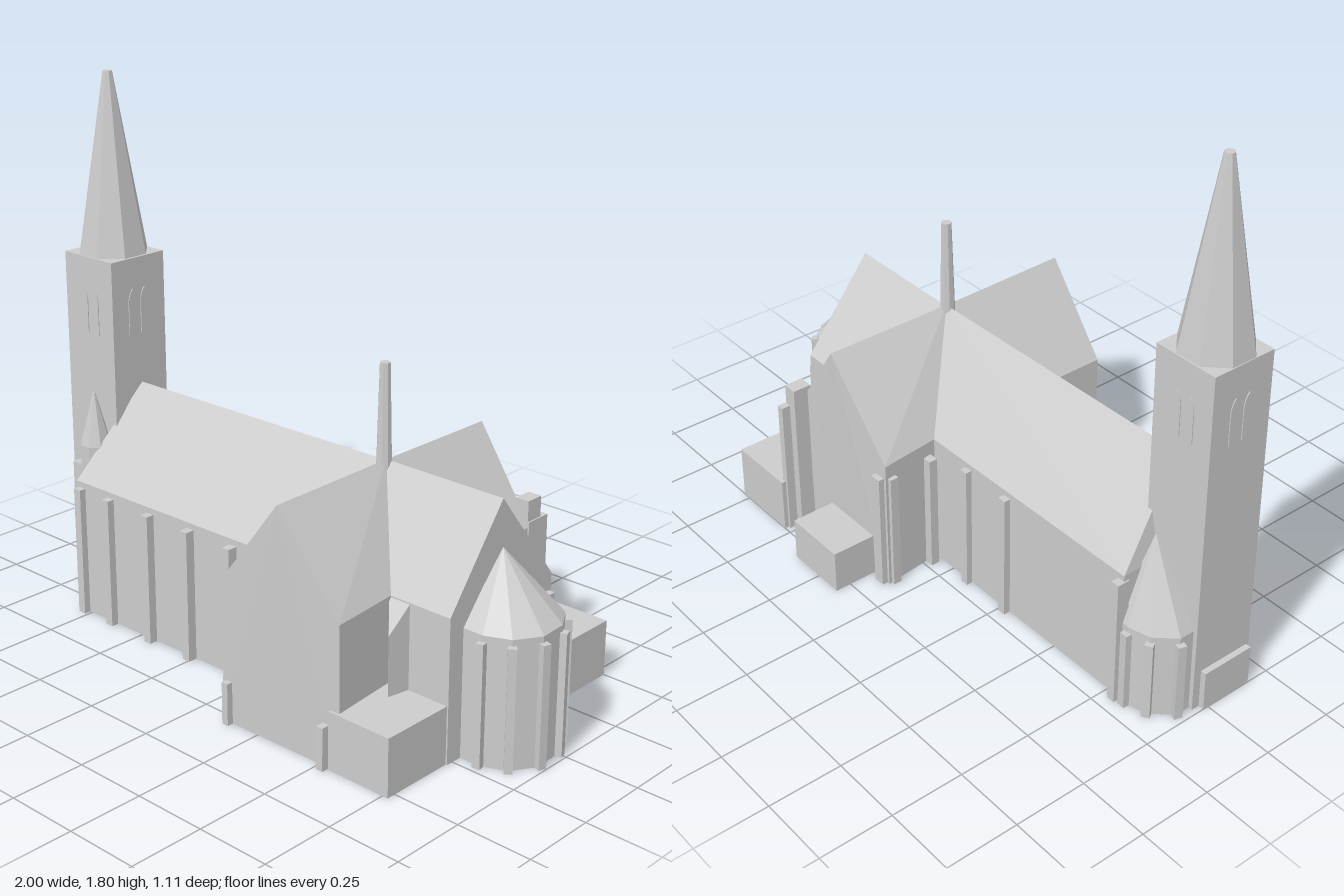
import * as THREE from 'three';
import { ConvexGeometry } from 'three/addons/geometries/ConvexGeometry.js';

export function createModel() {
  const church = new THREE.Group();
  church.name = 'church';
  const stone = new THREE.MeshStandardMaterial({ color: 0xcccccc });
  stone.name = 'grey stone';

  const add = (name, geometry) => {
    const mesh = new THREE.Mesh(geometry, stone);
    mesh.name = name;
    church.add(mesh);
    return mesh;
  };
  // Convex solid through a few corner points
  const hull = (name, pts) => add(name, new ConvexGeometry(pts.map(p => new THREE.Vector3(...p))));
  // Box from its extents, standing on the ground
  const block = (name, x0, x1, z0, z1, h, y0 = 0) => {
    const m = add(name, new THREE.BoxGeometry(x1 - x0, h - y0, z1 - z0));
    m.position.set((x0 + x1) / 2, (h + y0) / 2, (z0 + z1) / 2);
    return m;
  };
  // Straight walls over a plan of [x, z] corners, with an optional roof apex
  const prism = (name, plan, h, apex) => hull(name,
    [...plan.flatMap(([x, z]) => [[x, 0, z], [x, h, z]]), ...(apex ? [apex] : [])]);
  // Narrow pier turned to face outwards
  const pier = (name, x, z, w, d, h, angle = 0) => {
    const m = add(name, new THREE.BoxGeometry(w, h, d));
    m.position.set(x, h / 2, z);
    m.rotation.y = angle;
  };
  // Faceted tapering shaft
  const shaft = (name, x, z, r0, r1, y0, y1) => {
    const g = new THREE.CylinderGeometry(r1, r0, y1 - y0, 8).toNonIndexed();
    g.rotateY(Math.PI / 8);
    g.computeVertexNormals();
    add(name, g).position.set(x, (y0 + y1) / 2, z);
  };

  // Nave with a slightly skewed ridge
  hull('nave', [
    [-0.8, 0, 0.32], [-0.8, 0.47, 0.32], [-0.8, 0, -0.18], [-0.8, 0.47, -0.18],
    [0.33, 0, 0.3], [0.33, 0.47, 0.3], [0.33, 0, -0.19], [0.33, 0.47, -0.19],
    [-0.74, 0.77, 0.07], [0.33, 0.77, 0.052],
  ]);
  // Choir
  hull('choir', [
    ...[0.33, 0.775].flatMap(x => [
      [x, 0, 0.275], [x, 0.47, 0.275], [x, 0, -0.2], [x, 0.455, -0.2], [x, 0.77, 0.048]]),
  ]);
  hull('choirCorner', [
    [0.54, 0, 0.27], [0.54, 0.47, 0.27], [0.61, 0, 0.35], [0.61, 0.385, 0.35],
    [0.625, 0, 0.27], [0.625, 0.47, 0.27],
  ]);
  // Transept arms
  hull('frontTransept', [
    [0.11, 0, 0.53], [0.11, 0.47, 0.53], [0.575, 0, 0.52], [0.575, 0.47, 0.52], [0.34, 0.77, 0.53],
    [0.11, 0, 0.05], [0.11, 0.47, 0.05], [0.53, 0, 0.05], [0.53, 0.47, 0.05], [0.33, 0.77, 0.05],
  ]);
  hull('backTransept', [
    [0.07, 0, -0.4], [0.07, 0.47, -0.4], [0.54, 0, -0.4], [0.54, 0.47, -0.4], [0.33, 0.77, -0.41],
    [0.12, 0, 0.05], [0.12, 0.47, 0.05], [0.54, 0, 0.05], [0.54, 0.47, 0.05], [0.33, 0.77, 0.05],
  ]);

  // Polygonal apse with piers at its corners
  const apse = [[0.77, 0.215], [0.845, 0.215], [0.925, 0.18], [0.975, 0.1],
    [0.97, 0.005], [0.925, -0.07], [0.85, -0.11], [0.77, -0.11]];
  prism('apse', apse, 0.42, [0.78, 0.62, 0.048]);
  apse.slice(1, 7).forEach(([x, z]) => {
    const a = Math.atan2(x - 0.82, z - 0.05);
    pier('apsePier', x + 0.002 * Math.sin(a), z + 0.002 * Math.cos(a), 0.026, 0.034, 0.4, a);
  });

  // Low annexes
  block('frontAnnex', 0.54, 0.77, 0.26, 0.53, 0.19);
  block('backAnnex', 0.53, 0.78, -0.5, -0.19, 0.19);
  block('rearPorch', 0.15, 0.38, -0.555, -0.39, 0.15);
  block('sidePorch', 0.065, 0.12, 0.33, 0.44, 0.16);
  block('westPorch', -1, -0.97, -0.02, 0.17, 0.14);

  // Nave buttresses
  [-0.775, -0.635, -0.445, -0.26, -0.07, 0.095].forEach(x => pier('frontButtress', x, 0.32, 0.03, 0.045, 0.45));
  [-0.79, -0.27, -0.08].forEach(x => pier('backButtress', x, -0.185, 0.03, 0.045, 0.45));

  // Transept and choir buttresses
  [0.135, 0.525].forEach(x => pier('frontTranseptButtress', x, 0.533, 0.024, 0.035, 0.14));
  pier('frontTranseptButtress', 0.108, 0.5, 0.03, 0.03, 0.14);
  block('tallBackButtress', 0.49, 0.54, -0.455, -0.39, 0.56);
  block('backCornerButtress', 0.52, 0.545, -0.485, -0.39, 0.49);
  pier('backCornerButtress', 0.1, -0.405, 0.04, 0.03, 0.42);
  [-0.375, -0.22].forEach(z => pier('backSideButtress', 0.075, z, 0.035, 0.03, 0.42));
  pier('choirButtress', 0.785, -0.175, 0.025, 0.03, 0.4);

  // West tower and spire
  block('tower', -0.98, -0.75, -0.048, 0.18, 1.2);
  shaft('spire', -0.868, 0.066, 0.118, 0.016, 1.2, 1.8);

  // Paired lancet windows on all four tower faces
  const lancet = new THREE.Shape();
  lancet.moveTo(-0.019, 0);
  lancet.lineTo(0.019, 0);
  lancet.lineTo(0.019, 0.11);
  lancet.quadraticCurveTo(0.018, 0.14, 0, 0.157);
  lancet.quadraticCurveTo(-0.018, 0.14, -0.019, 0.11);
  const pane = new THREE.ExtrudeGeometry(lancet, { depth: 0.004, bevelEnabled: false, curveSegments: 4 });
  for (let i = 0; i < 4; i++) {
    const face = new THREE.Group();
    face.name = 'belfryWindows';
    face.position.set(-0.865, 0.94, 0.066);
    face.rotation.y = i * Math.PI / 2;
    [-0.026, 0.026].forEach(x => {
      const m = new THREE.Mesh(pane, stone);
      m.name = 'lancetWindow';
      m.position.set(x, 0, i % 2 ? 0.114 : 0.113);
      face.add(m);
    });
    church.add(face);
  }

  // Stair turret in front of the tower
  block('turretBase', -0.885, -0.78, 0.17, 0.262, 0.5);
  shaft('stairTurret', -0.82, 0.215, 0.053, 0.053, 0, 0.57);
  shaft('stairTurretRoof', -0.82, 0.215, 0.053, 0.004, 0.57, 0.75);

  // Polygonal chapel behind the tower, with corner piers
  const chapel = [[-0.965, -0.04], [-0.965, -0.1], [-0.905, -0.165], [-0.83, -0.185], [-0.77, -0.18], [-0.77, -0.04]];
  prism('westChapel', chapel, 0.3, [-0.81, 0.58, -0.07]);
  chapel.slice(1, 4).forEach(([x, z]) =>
    pier('chapelPier', x, z, 0.028, 0.034, 0.28, Math.atan2(x + 0.84, z + 0.06)));

  // Slender ridge turret over the crossing
  shaft('ridgeTurret', 0.327, 0.055, 0.026, 0.017, 0.72, 1.08);

  return church;
}
